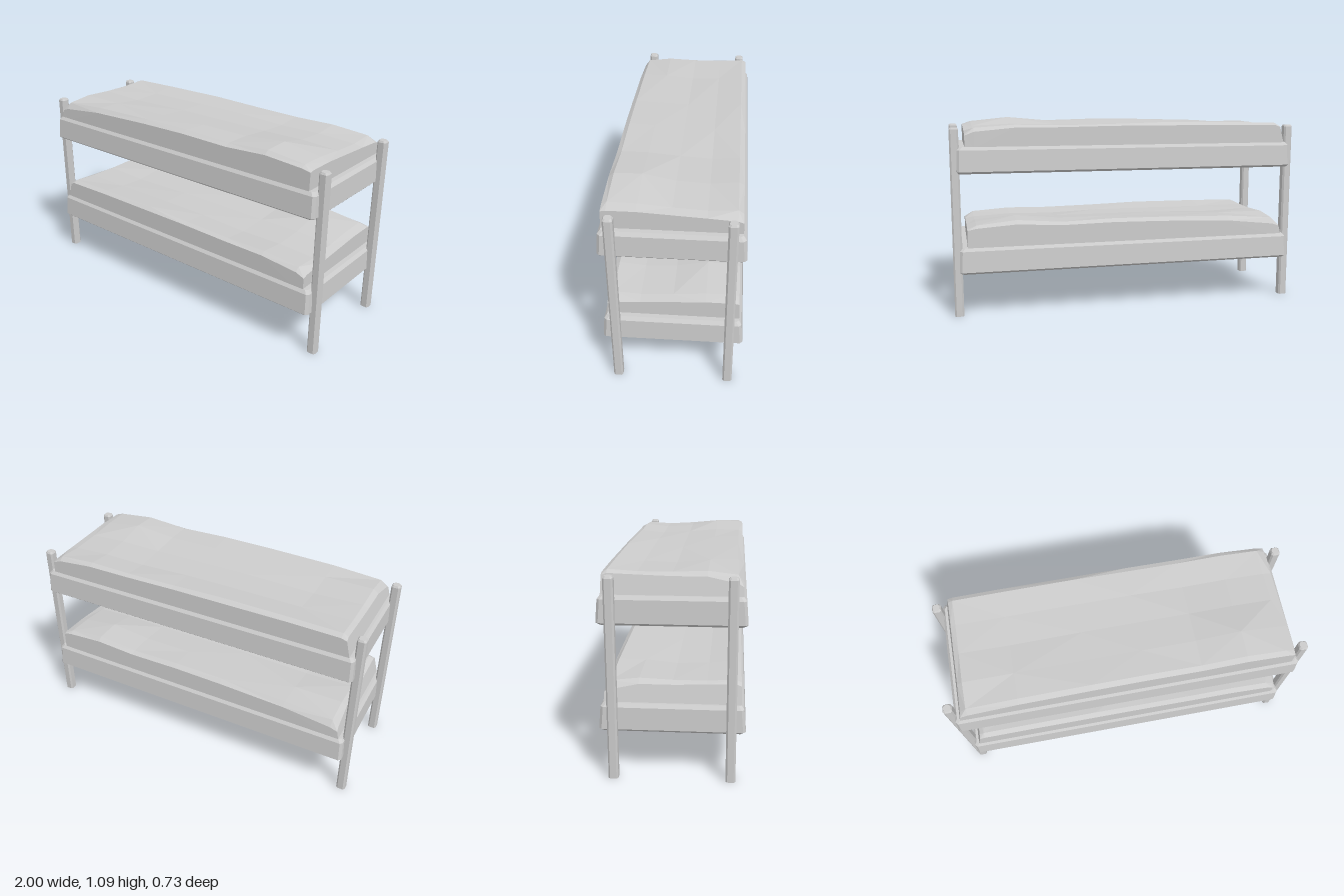
import * as THREE from 'three';

const material = new THREE.MeshStandardMaterial({ color: 0xcccccc, flatShading: true });

function makeMesh(name, points, faces) {
  const indexed = new THREE.BufferGeometry();
  indexed.setAttribute('position', new THREE.Float32BufferAttribute(points.flat(), 3));
  indexed.setIndex(faces.flat());
  const geometry = indexed.toNonIndexed();
  geometry.computeVertexNormals();
  const mesh = new THREE.Mesh(geometry, material);
  mesh.name = name;
  return mesh;
}

// Closed block with cut corners, lofted upward through rings of [y, half x, half z]
function chamferedBlock(name, rings, cut) {
  const points = [], faces = [];
  for (const [y, a, b] of rings) {
    const c = a - cut, d = b - cut;
    for (const [x, z] of [[a, d], [a, -d], [c, -b], [-c, -b], [-a, -d], [-a, d], [-c, b], [c, b]])
      points.push([x, y, z]);
  }
  const top = (rings.length - 1) * 8;
  for (let r = 0; r < top; r += 8)
    for (let j = 0; j < 8; j++) {
      const k = (j + 1) % 8;
      faces.push([r + j, r + k, r + 8 + k], [r + j, r + 8 + k, r + 8 + j]);
    }
  for (let j = 1; j < 7; j++) faces.push([0, j + 1, j], [top, top + j, top + j + 1]);
  return makeMesh(name, points, faces);
}

// Lumpy bedding: heights across the bed (front edge to back edge) at stations along x
const ACROSS = [0.345, 0.342, 0.315, 0.17, 0, -0.17, -0.315, -0.342, -0.345];
const STATIONS = [
  [-0.935, [0.985, 1.0, 1.03, 1.03, 1.035, 1.04, 1.03]],
  [-0.88, [1.0, 1.035, 1.052, 1.045, 1.045, 1.055, 1.04]],
  [-0.6, [1.03, 1.055, 1.052, 1.035, 1.042, 1.06, 1.045]],
  [-0.2, [1.045, 1.065, 1.055, 1.045, 1.045, 1.063, 1.045]],
  [0.1, [1.05, 1.068, 1.06, 1.045, 1.045, 1.055, 1.045]],
  [0.4, [1.045, 1.06, 1.06, 1.045, 1.035, 1.05, 1.04]],
  [0.65, [1.06, 1.08, 1.085, 1.05, 1.04, 1.055, 1.04]],
  [0.87, [1.045, 1.058, 1.055, 1.04, 1.03, 1.04, 1.02]],
  [0.92, [1.035, 1.04, 1.04, 1.03, 1.02, 1.01, 1.0]],
];
const BASE = 0.93;

function bedding(name, flip) {
  const points = [], faces = [], n = ACROSS.length;
  STATIONS.forEach(([x, heights], i) => {
    [BASE, ...heights, BASE].forEach((y, j) => {
      // the head end leans inward toward its top
      const lean = i === 0 ? (y - BASE) * 0.25 : 0;
      points.push([x + lean, y, ACROSS[j] * flip]);
    });
  });
  for (let i = 0; i < STATIONS.length - 1; i++)
    for (let j = 0; j < n; j++) {
      const k = (j + 1) % n;
      const a = i * n + j, b = a + n, c = (i + 1) * n + k, d = i * n + k;
      if ((i + j) % 2) faces.push([a, b, c], [a, c, d]);
      else faces.push([a, b, d], [b, c, d]);
    }
  // end faces fan out from the middle of the base
  for (const [i, order] of [[0, 1], [STATIONS.length - 1, -1]]) {
    const centre = points.length;
    points.push([STATIONS[i][0], BASE, 0]);
    for (let j = 0; j < n - 1; j++) {
      const a = i * n + j;
      faces.push(order > 0 ? [centre, a, a + 1] : [centre, a + 1, a]);
    }
  }
  if (flip < 0) faces.forEach((f) => f.reverse());
  return makeMesh(name, points, faces);
}

export function createModel() {
  const model = new THREE.Group();
  model.name = 'bunkBed';

  // Two identical bunks; the lower bedding is mirrored front to back
  for (const [name, lift, flip] of [['upper', 0, 1], ['lower', -0.55, -1]]) {
    const bunk = new THREE.Group();
    bunk.name = name + 'Bunk';
    bunk.add(
      chamferedBlock('bedFrame', [
        [0.795, 0.955, 0.353],
        [0.807, 0.967, 0.367],
        [0.922, 0.962, 0.358],
        [0.94, 0.947, 0.344],
      ], 0.014),
      bedding('bedding', flip),
    );
    bunk.position.y = lift;
    model.add(bunk);
  }

  // Four corner posts with bevelled tops
  for (const x of [-0.975, 0.975])
    for (const z of [-0.295, 0.295]) {
      const post = chamferedBlock('post', [
        [0, 0.025, 0.025],
        [1.032, 0.025, 0.025],
        [1.042, 0.019, 0.019],
      ], 0.009);
      post.position.set(x, 0, z);
      model.add(post);
    }
  return model;
}
